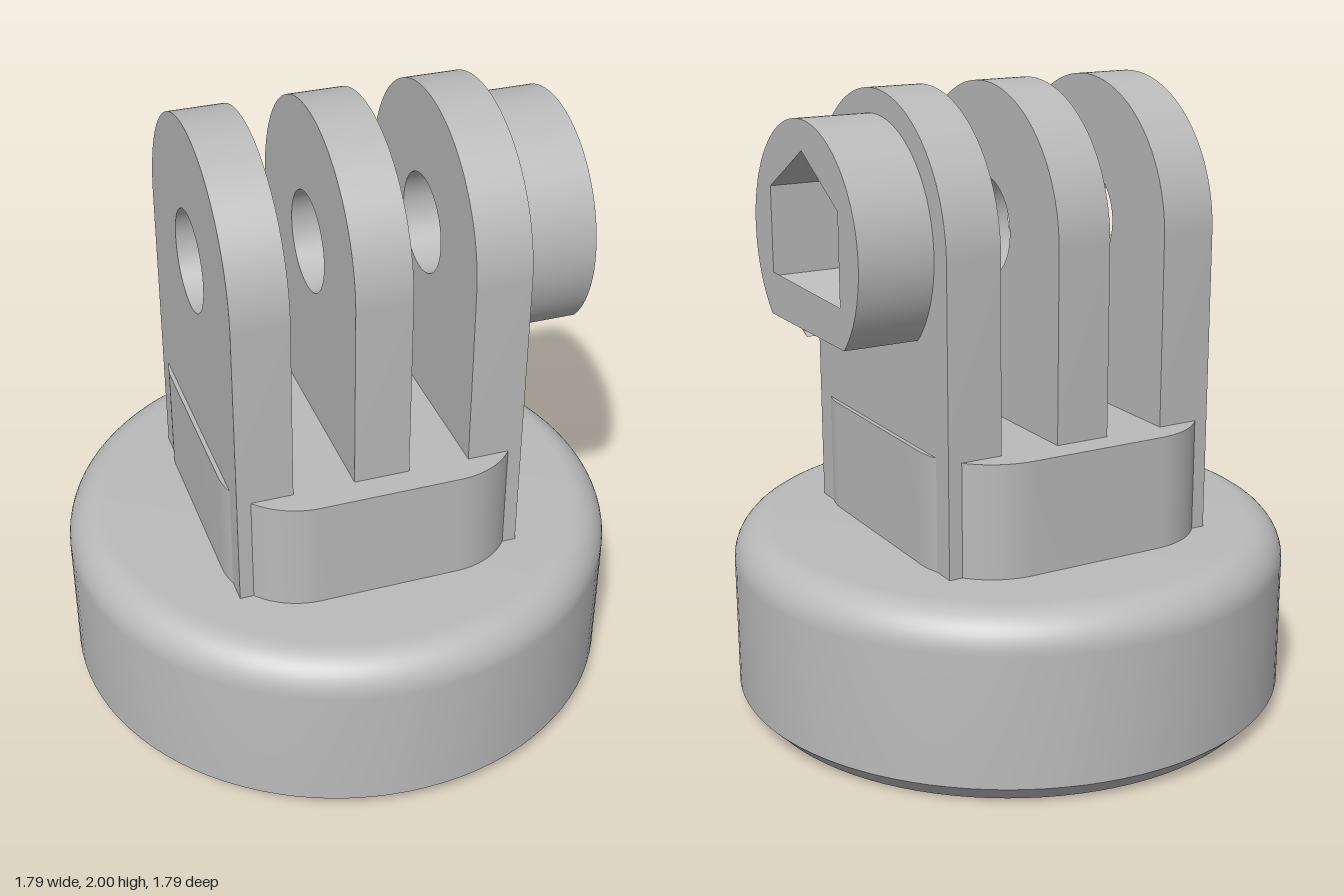
import * as THREE from 'three';
import { toCreasedNormals } from 'three/addons/utils/BufferGeometryUtils.js';

const grey = new THREE.MeshStandardMaterial({ color: 0xbababa });
grey.name = 'grey plastic';

const AXIS_Y = 1.553; // height of the pivot bolt
const BOLT_R = 0.16;
const MID_X = -0.003; // centre of the prong group

function part(name, geometry) {
  const mesh = new THREE.Mesh(toCreasedNormals(geometry, 0.5), grey);
  mesh.name = name;
  return mesh;
}

// Extrude a (z, y) outline along +x, starting at x0
function extrudeX(shape, x0, width) {
  const g = new THREE.ExtrudeGeometry(shape, { depth: width, bevelEnabled: false, curveSegments: 48 });
  return g.rotateY(Math.PI / 2).translate(x0, 0, 0);
}

// Round base with a chamfered foot, filleted top and a blind hole below
function baseGeometry() {
  const pts = [[0, 0.45], [0.28, 0.45], [0.28, 0], [0.835, 0], [0.894, 0.06]];
  for (let i = 0; i <= 12; i++) {
    const a = (i / 12) * Math.PI / 2;
    pts.push([0.774 + 0.12 * Math.cos(a), 0.477 + 0.12 * Math.sin(a)]);
  }
  pts.push([0, 0.597]);
  return new THREE.LatheGeometry(pts.map(([x, y]) => new THREE.Vector2(x, y)), 96);
}

// Rounded block under the prongs
function hubGeometry() {
  const w = 0.474, d = 0.537, r = 0.25;
  const s = new THREE.Shape();
  s.absarc(w - r, d - r, r, 0, Math.PI / 2);
  s.absarc(r - w, d - r, r, Math.PI / 2, Math.PI);
  s.absarc(r - w, r - d, r, Math.PI, Math.PI * 1.5);
  s.absarc(w - r, r - d, r, Math.PI * 1.5, Math.PI * 2);
  const g = new THREE.ExtrudeGeometry(s, { depth: 0.38, bevelEnabled: false, curveSegments: 16 });
  return g.rotateX(-Math.PI / 2).translate(MID_X, 0.577, 0);
}

// Upright finger with a round top and bolt hole
function prongShape() {
  const r = 0.447;
  const s = new THREE.Shape();
  s.moveTo(-r, 0.58);
  s.lineTo(r, 0.58);
  s.absarc(0, AXIS_Y, r, 0, Math.PI);
  s.closePath();
  s.holes.push(new THREE.Path().absarc(0, AXIS_Y, BOLT_R, 0, Math.PI * 2, true));
  return s;
}

// Teardrop nut holder with a hexagonal pocket
function nutHolderShape() {
  const r = 0.372, hexR = 0.28;
  const s = new THREE.Shape();
  s.moveTo(0, AXIS_Y - r * Math.SQRT2);
  s.absarc(0, AXIS_Y, r, -Math.PI / 4, Math.PI * 1.25);
  s.closePath();
  const hex = [];
  for (let i = 0; i < 6; i++) {
    const a = Math.PI / 2 - i * Math.PI / 3;
    hex.push(new THREE.Vector2(hexR * Math.cos(a), AXIS_Y + hexR * Math.sin(a)));
  }
  s.holes.push(new THREE.Path(hex).closePath());
  return s;
}

export function createModel() {
  const model = new THREE.Group();
  model.name = 'prongMount';
  model.add(part('base', baseGeometry()));
  model.add(part('hub', hubGeometry()));

  const width = 0.177, pitch = 0.3715;
  ['rightProng', 'middleProng', 'leftProng'].forEach((name, i) => {
    const x0 = MID_X + (i - 1) * pitch - width / 2;
    model.add(part(name, extrudeX(prongShape(), x0, width)));
  });

  const outerFace = MID_X + pitch + width / 2;
  model.add(part('nutHolder', extrudeX(nutHolderShape(), outerFace, 0.695 - outerFace)));
  return model;
}
